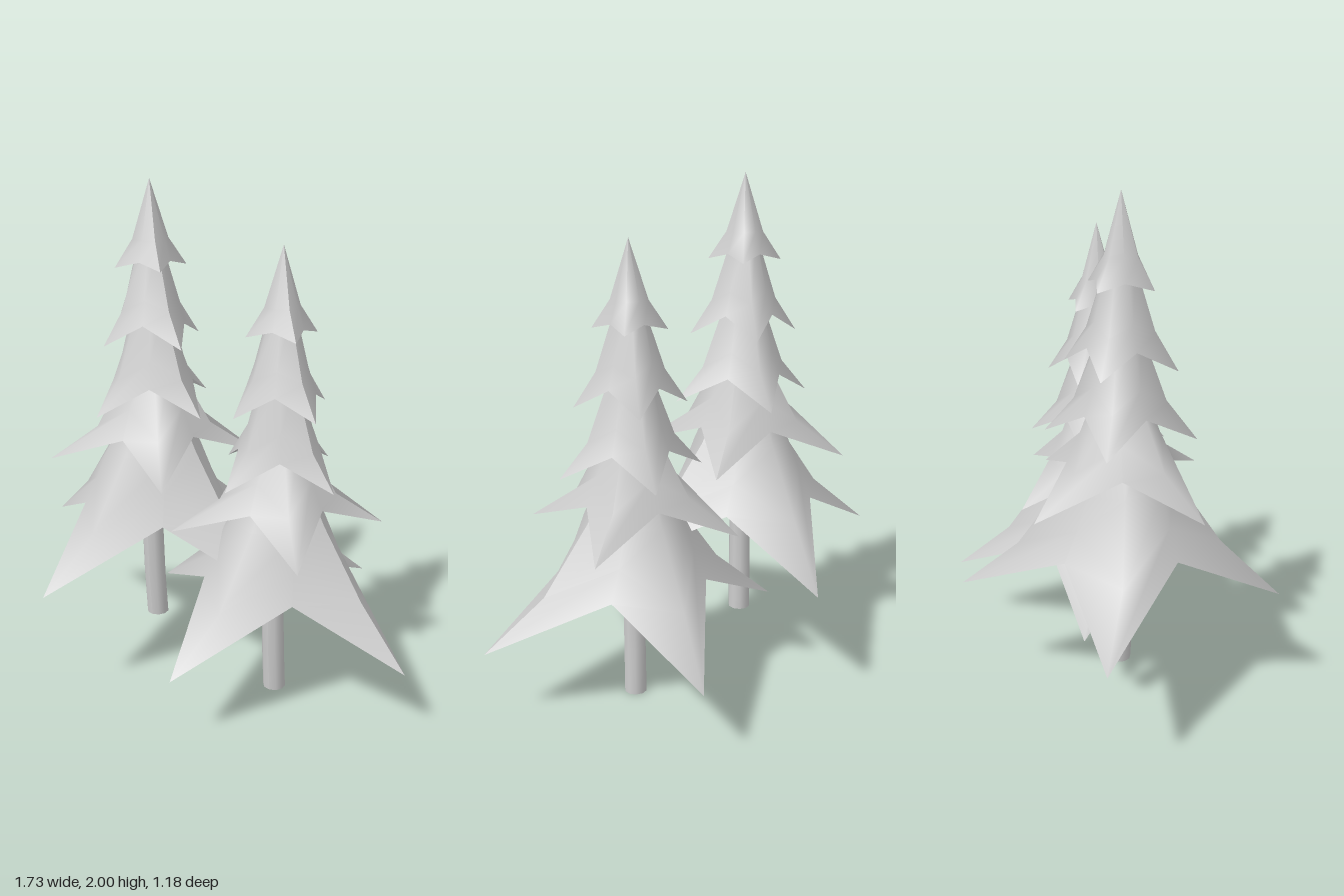
import * as THREE from 'three';

const material = new THREE.MeshStandardMaterial({ color: 0xcccccc, side: THREE.DoubleSide });

// Each tier is a four-pointed skirt. Rings run top to bottom; each ring holds
// [radius, height, angle in degrees] for the points and for the valleys between.
const tiers = [
  { name: 'bottomTier', rings: [
    { point: [0.11, 0.93, 0], valley: [0.11, 0.93, 45] },
    { point: [0.20, 0.76, 4], valley: [0.19, 0.75, 47] },
    { point: [0.38, 0.50, 8], valley: [0.235, 0.63, 50] },
    { point: [0.607, 0.30, 13.5], valley: [0.287, 0.515, 53] }] },
  { name: 'lowerTier', rings: [
    { point: [0.085, 1.10, -35], valley: [0.085, 1.10, 8] },
    { point: [0.225, 0.84, -35], valley: [0.145, 0.94, 8] },
    { point: [0.415, 0.71, -35], valley: [0.195, 0.825, 7] }] },
  { name: 'middleTier', rings: [
    { point: [0.07, 1.33, 19], valley: [0.07, 1.33, 64] },
    { point: [0.17, 1.06, 19], valley: [0.12, 1.13, 64] },
    { point: [0.28, 0.93, 19], valley: [0.155, 1.03, 64] }] },
  { name: 'upperTier', rings: [
    { point: [0.05, 1.56, 28], valley: [0.05, 1.56, 74] },
    { point: [0.128, 1.32, 28], valley: [0.10, 1.36, 74] },
    { point: [0.213, 1.19, 28], valley: [0.13, 1.27, 74] }] },
  { name: 'topTier', rings: [
    { point: [0, 1.80, 44], valley: [0, 1.80, 89] },
    { point: [0.07, 1.58, 44], valley: [0.06, 1.58, 89] },
    { point: [0.14, 1.475, 44], valley: [0.085, 1.50, 89] }] },
];

// Smooth skirt surface through the rings, repeated every quarter turn.
// The first and last columns coincide, leaving a single crease on one spike.
function tierGeometry(rings) {
  const positions = [], indices = [], columns = 9;
  for (const ring of rings) {
    for (let i = 0; i < columns; i++) {
      const [r, y, degrees] = i % 2 ? ring.valley : ring.point;
      const a = THREE.MathUtils.degToRad(degrees + 90 * Math.floor(i / 2));
      positions.push(r * Math.cos(a), y, r * Math.sin(a));
    }
  }
  for (let j = 0; j < rings.length - 1; j++) {
    for (let i = 0; i < columns - 1; i++) {
      const t = j * columns + i, b = t + columns;
      indices.push(b, t, b + 1, t, t + 1, b + 1);
    }
  }
  const geometry = new THREE.BufferGeometry();
  geometry.setAttribute('position', new THREE.Float32BufferAttribute(positions, 3));
  geometry.setIndex(indices);
  geometry.computeVertexNormals();
  return geometry;
}

// Slightly bent trunk, reaching up inside the lower tiers
function trunkGeometry() {
  const geometry = new THREE.CylinderGeometry(0.042, 0.045, 0.95, 10, 5);
  geometry.translate(0, 0.475, 0);
  const p = geometry.attributes.position;
  for (let i = 0; i < p.count; i++) {
    const bend = Math.sin(Math.min(p.getY(i) / 0.8, 1) * Math.PI);
    p.setX(i, p.getX(i) - 0.008 * bend);
    p.setZ(i, p.getZ(i) + 0.012 * bend);
  }
  geometry.computeVertexNormals();
  return geometry;
}

function createTree(name) {
  const tree = new THREE.Group();
  tree.name = name;
  const add = (part, geometry) => {
    const mesh = new THREE.Mesh(geometry, material);
    mesh.name = part;
    tree.add(mesh);
  };
  add('trunk', trunkGeometry());
  for (const tier of tiers) add(tier.name, tierGeometry(tier.rings));
  return tree;
}

export function createModel() {
  const model = new THREE.Group();
  model.name = 'firTrees';

  // Two equal trees, the right one standing higher
  const rightTree = createTree('rightTree');
  rightTree.position.set(-0.28, 0.2, 0);
  const leftTree = createTree('leftTree');
  leftTree.position.set(0.273, 0, 0);
  model.add(rightTree, leftTree);
  return model;
}
